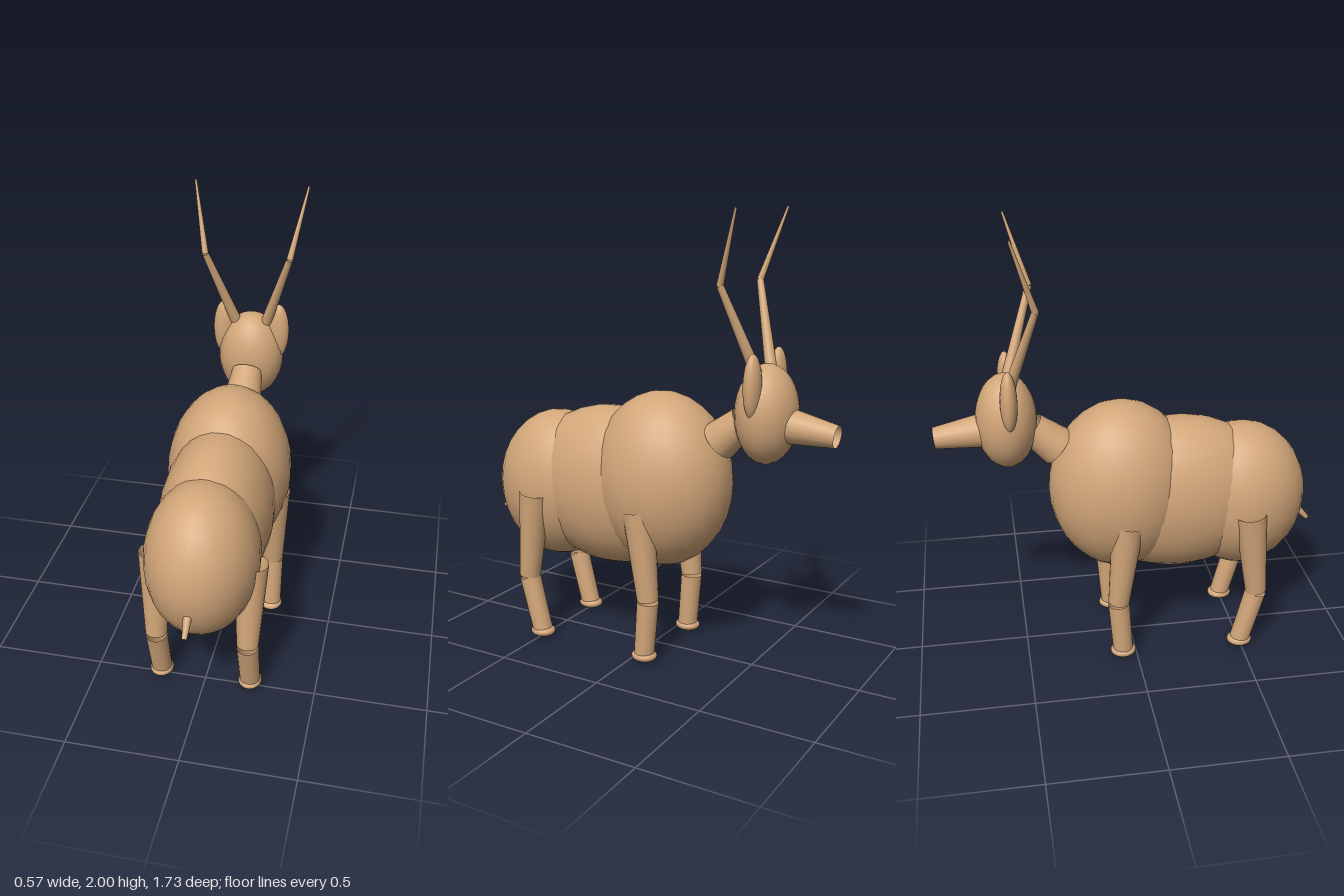
import * as THREE from 'three';

const tan = new THREE.MeshStandardMaterial({ color: 0xd2a679, side: THREE.DoubleSide });
tan.name = 'tan hide';

// Ellipsoid with its poles on the y axis
function ellipsoid(name, [x, y, z], [rx, ry, rz], parent) {
  const mesh = new THREE.Mesh(new THREE.SphereGeometry(1, 24, 16), tan);
  mesh.name = name;
  mesh.position.set(x, y, z);
  mesh.scale.set(rx, ry, rz);
  parent.add(mesh);
}

// Tapered open tube between two points
function limb(name, from, to, rFrom, rTo, parent) {
  const a = new THREE.Vector3(...from), b = new THREE.Vector3(...to);
  const dir = b.clone().sub(a);
  const mesh = new THREE.Mesh(
    new THREE.CylinderGeometry(rTo, rFrom, dir.length(), 20, 1, true), tan);
  mesh.name = name;
  mesh.position.copy(a).add(b).multiplyScalar(0.5);
  mesh.quaternion.setFromUnitVectors(new THREE.Vector3(0, 1, 0), dir.normalize());
  parent.add(mesh);
}

export function createModel() {
  const model = new THREE.Group();
  model.name = 'antelope';

  // Body: three overlapping masses
  ellipsoid('chest', [0, 0.8, -0.04], [0.283, 0.4, 0.33], model);
  ellipsoid('belly', [0, 0.74, 0.22], [0.25, 0.37, 0.455], model);
  ellipsoid('rump', [0, 0.71, 0.52], [0.248, 0.35, 0.302], model);
  limb('tail', [0, 0.62, 0.785], [0, 0.54, 0.858], 0.02, 0.011, model);

  // Neck and head
  limb('neck', [0, 1.005, -0.322], [0, 1.105, -0.44], 0.09, 0.07, model);
  ellipsoid('head', [0, 1.147, -0.545], [0.155, 0.215, 0.135], model);
  limb('muzzle', [0, 1.112, -0.6], [0, 1.083, -0.86], 0.082, 0.048, model);

  for (const s of [1, -1]) {
    const side = s > 0 ? 'left' : 'right';

    // Ears and two-piece horns
    ellipsoid(side + 'Ear', [0.13 * s, 1.28, -0.535], [0.052, 0.137, 0.037], model);
    const elbow = [0.193 * s, 1.69, -0.413];
    limb(side + 'HornBase', [0.075 * s, 1.33, -0.525], elbow, 0.026, 0.015, model);
    limb(side + 'HornTip', elbow, [0.255 * s, 1.999, -0.508], 0.015, 0.005, model);

    // Legs: z of hip, of knee and of hoof
    for (const [part, hipZ, kneeZ, hoofZ] of [['Front', -0.04, -0.083, -0.064], ['Hind', 0.518, 0.563, 0.495]]) {
      const leg = new THREE.Group();
      leg.name = side + part + 'Leg';
      limb('upperLeg', [0.21 * s, 0.703, hipZ], [0.205 * s, 0.293, kneeZ], 0.073, 0.049, leg);
      limb('lowerLeg', [0.205 * s, 0.285, kneeZ], [0.205 * s, 0.03, hoofZ], 0.049, 0.046, leg);
      ellipsoid('hoof', [0.205 * s, 0.028, hoofZ], [0.053, 0.028, 0.059], leg);
      model.add(leg);
    }
  }
  return model;
}
